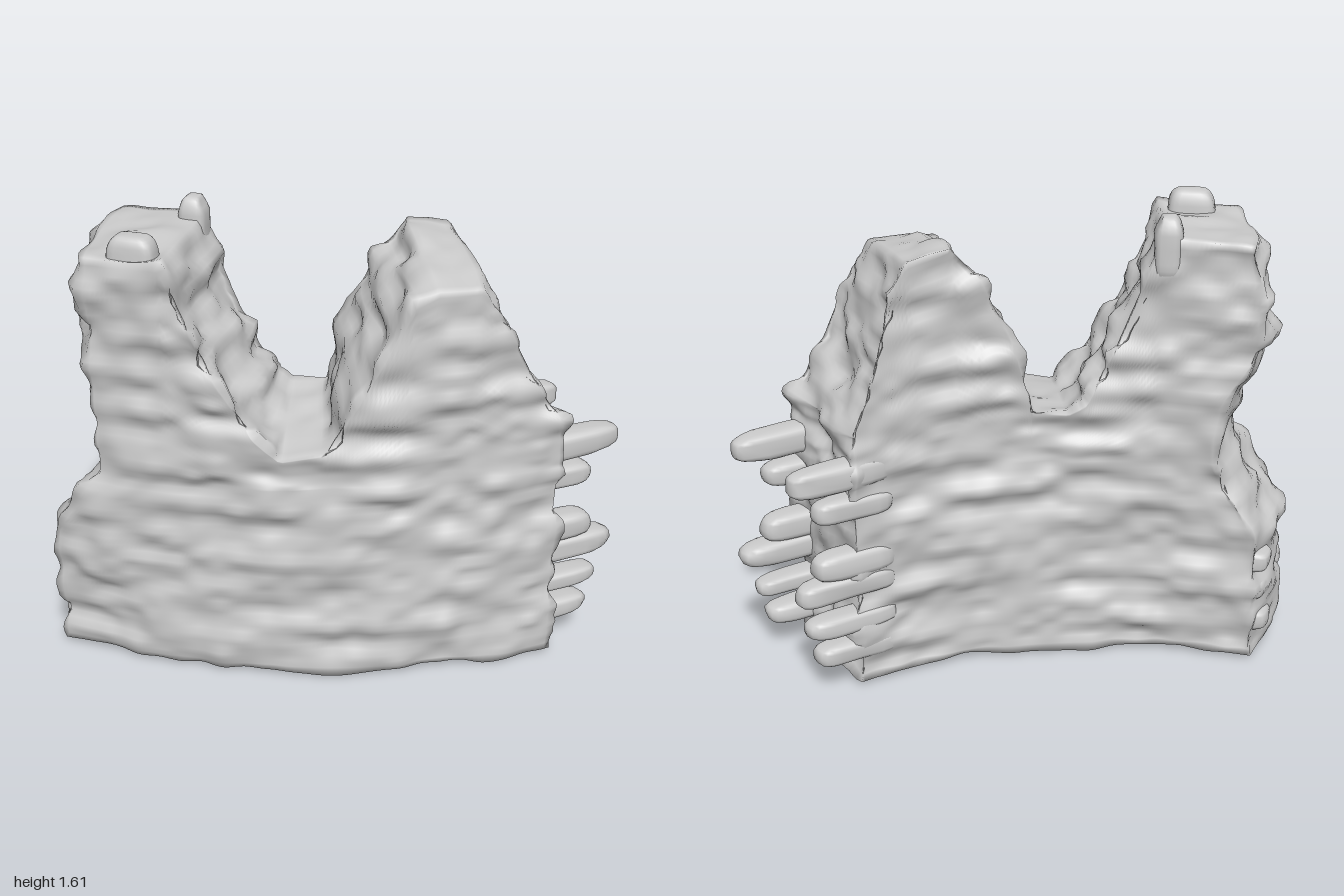
import * as THREE from 'three';
import { mergeVertices } from 'three/addons/utils/BufferGeometryUtils.js';

// The wall is an arc: coordinates are angle, height and radius about a centre behind it
const CENTRE_Z = -1.86, INNER = 1.71, OUTER = 2.195;
const SHOULDER = 0.75; // height where the plain wall ends and the broken top begins
const material = new THREE.MeshStandardMaterial({ color: 0xcccccc });
const { lerp, clamp } = THREE.MathUtils;

// Ends of the plain wall: [height, left angle, right angle]
const ENDS = [[0.015, -0.456, 0.362], [0.47, -0.456, 0.365], [0.6, -0.418, 0.365], [SHOULDER, -0.375, 0.366]];

// Extra angle of the stepped end behind its front edge: [height, at mid depth, at the back]
const BULGE = [
  [0, -0.032, -0.012], [0.5, -0.032, -0.012], [0.62, -0.025, 0], [0.85, -0.018, 0], [0.98, -0.025, -0.015],
  [1.12, -0.065, -0.07], [1.2, -0.078, -0.08], [1.4, -0.068, -0.08], [1.53, -0.035, -0.055],
];

// Broken top with a tall tower, a gap and a sloping tower:
// [position along the wall, front angle, front height, back angle, back height]
const TOP = [
  [0, -0.372, 1.52, -0.372, 1.52], [0.16, -0.25, 1.53, -0.25, 1.53],
  [0.27, -0.185, 1.19, -0.18, 1.21], [0.37, -0.12, 0.95, -0.118, 0.97],
  [0.42, -0.08, 0.86, -0.08, 0.93], [0.49, -0.01, 0.89, -0.01, 0.94],
  [0.57, 0.05, 1.12, 0.035, 1.22], [0.65, 0.12, 1.42, 0.095, 1.44],
  [0.7, 0.155, 1.45, 0.145, 1.54], [0.78, 0.222, 1.45, 0.24, 1.5],
  [0.82, 0.255, 1.36, 0.275, 1.39], [0.88, 0.285, 1.22, 0.3, 1.22],
  [0.94, 0.32, 1.07, 0.325, 1.07], [1, 0.36, 0.94, 0.36, 0.94],
];

function hash(i, j, k) {
  const s = Math.sin(i * 127.1 + j * 311.7 + k * 74.7) * 43758.5453;
  return s - Math.floor(s);
}

// Smooth value noise in -1..1
function noise(x, y, z) {
  const c = [x, y, z].map(Math.floor);
  const f = [x - c[0], y - c[1], z - c[2]].map((t) => t * t * (3 - 2 * t));
  let sum = 0;
  for (let n = 0; n < 8; n++) {
    const o = [n & 1, (n >> 1) & 1, n >> 2];
    const w = o.reduce((p, b, i) => p * (b ? f[i] : 1 - f[i]), 1);
    sum += w * hash(c[0] + o[0], c[1] + o[1], c[2] + o[2]);
  }
  return sum * 2 - 1;
}

function bend(a, y, r) {
  return new THREE.Vector3(r * Math.sin(a), y, CENTRE_Z + r * Math.cos(a));
}

// Interpolates a table by its first column
function sample(table, key) {
  let i = 1;
  while (i < table.length - 1 && table[i][0] < key) i++;
  const [p, q] = [table[i - 1], table[i]];
  const t = clamp((key - p[0]) / (q[0] - p[0]), 0, 1);
  return p.map((value, k) => lerp(value, q[k], t));
}

// Maps unit coordinates (along, up, toward the front) onto the wall
function wallPoint(u, v, w) {
  const lower = Math.min(v * 2, 1), upper = Math.max(v * 2 - 1, 0);
  const baseY = lerp(ENDS[0][0], SHOULDER, lower);
  const [, left, right] = sample(ENDS, baseY);
  const [, frontA, frontY, backA, backY] = sample(TOP, u);
  const y = lerp(baseY, lerp(backY, frontY, w), upper);
  let a = lerp(lerp(left, right, u), lerp(backA, frontA, w), upper);
  // A parabola through the front, middle and back of the stepped end, fading along the wall
  const [, mid, back] = sample(BULGE, y);
  const d = 1 - w;
  a += (4 * mid * d * (1 - d) + back * d * (2 * d - 1)) * clamp(1 - u / 0.16, 0, 1);
  return bend(a, y, lerp(INNER, OUTER, w));
}

// Courses of long flat stones pushed in and out, rougher on the ends and broken edges
function roughen(geo, strength) {
  geo.computeVertexNormals();
  const pos = geo.attributes.position, normal = geo.attributes.normal;
  const v = new THREE.Vector3(), n = new THREE.Vector3();
  for (let i = 0; i < pos.count; i++) {
    v.fromBufferAttribute(pos, i);
    n.fromBufferAttribute(normal, i);
    const amount = Math.abs(n.y) > 0.8 ? 0.02 : lerp(0.02, 0.042, Math.min(1, Math.abs(n.x)));
    const d = noise(v.x * 5 + 20, v.y * 15, v.z * 6 + 9) + 0.4 * noise(v.x * 13, v.y * 26 + 5, v.z * 14);
    v.addScaledVector(n, strength * amount * d);
    pos.setXYZ(i, v.x, Math.max(v.y, 0), v.z);
  }
  geo.computeVertexNormals();
}

// Geometry with shared vertices, so it shades smoothly
function welded(geo) {
  geo.deleteAttribute('uv');
  geo.deleteAttribute('normal');
  return mergeVertices(geo);
}

function wall() {
  const geo = welded(new THREE.BoxGeometry(1, 1, 1, 120, 64, 16));
  const pos = geo.attributes.position;
  for (let i = 0; i < pos.count; i++) {
    const p = wallPoint(pos.getX(i) + 0.5, pos.getY(i) + 0.5, pos.getZ(i) + 0.5);
    pos.setXYZ(i, p.x, p.y, p.z);
  }
  roughen(geo, 1);
  const mesh = new THREE.Mesh(geo, material);
  mesh.name = 'wall';
  return mesh;
}

// A single worn, rounded stone following the arc from angle a0 to a1
function stone(name, a0, a1, y, height, r, depth) {
  const geo = welded(new THREE.SphereGeometry(1, 20, 14));
  const pos = geo.attributes.position;
  const square = (t) => Math.sign(t) * Math.abs(t) ** 0.55;
  for (let i = 0; i < pos.count; i++) {
    const [x, h, d] = [pos.getX(i), pos.getY(i), pos.getZ(i)].map(square);
    const p = bend(lerp(a0, a1, x / 2 + 0.5), y + h * height / 2, r + d * depth / 2);
    pos.setXYZ(i, p.x, p.y, p.z);
  }
  roughen(geo, 0.3);
  const mesh = new THREE.Mesh(geo, material);
  mesh.name = name;
  return mesh;
}

export function createModel() {
  const group = new THREE.Group();
  group.name = 'ruinedWall';
  group.add(wall());

  // Stones left standing on the tall tower
  group.add(stone('topStoneFront', -0.34, -0.262, 1.5, 0.2, 2.13, 0.11));
  group.add(stone('topStoneBack', -0.29, -0.238, 1.5, 0.22, 1.75, 0.11));

  // Toothed stones projecting from the straight end: [height, end angle, stone height]
  const teeth = [[0.8, 0.49, 0.1], [0.68, 0.437, 0.085], [0.475, 0.445, 0.1],
    [0.39, 0.482, 0.09], [0.255, 0.462, 0.072], [0.14, 0.446, 0.078]];
  for (const [y, a, h] of teeth) {
    group.add(stone('outerToothStone', 0.27, a, y, h, 2.115, 0.105));
    group.add(stone('innerToothStone', 0.27, a, y, h, 1.75, 0.1));
  }

  // Short worn stones on the stepped end
  [0.12, 0.24, 0.35].forEach((y, i) => {
    group.add(stone('wornFrontStone', i % 2 ? -0.488 : -0.476, -0.36, y, 0.08, 2.09, 0.14));
    group.add(stone('wornBackStone', i % 2 ? -0.484 : -0.494, -0.36, y + 0.02, 0.09, 1.79, 0.13));
  });
  return group;
}
